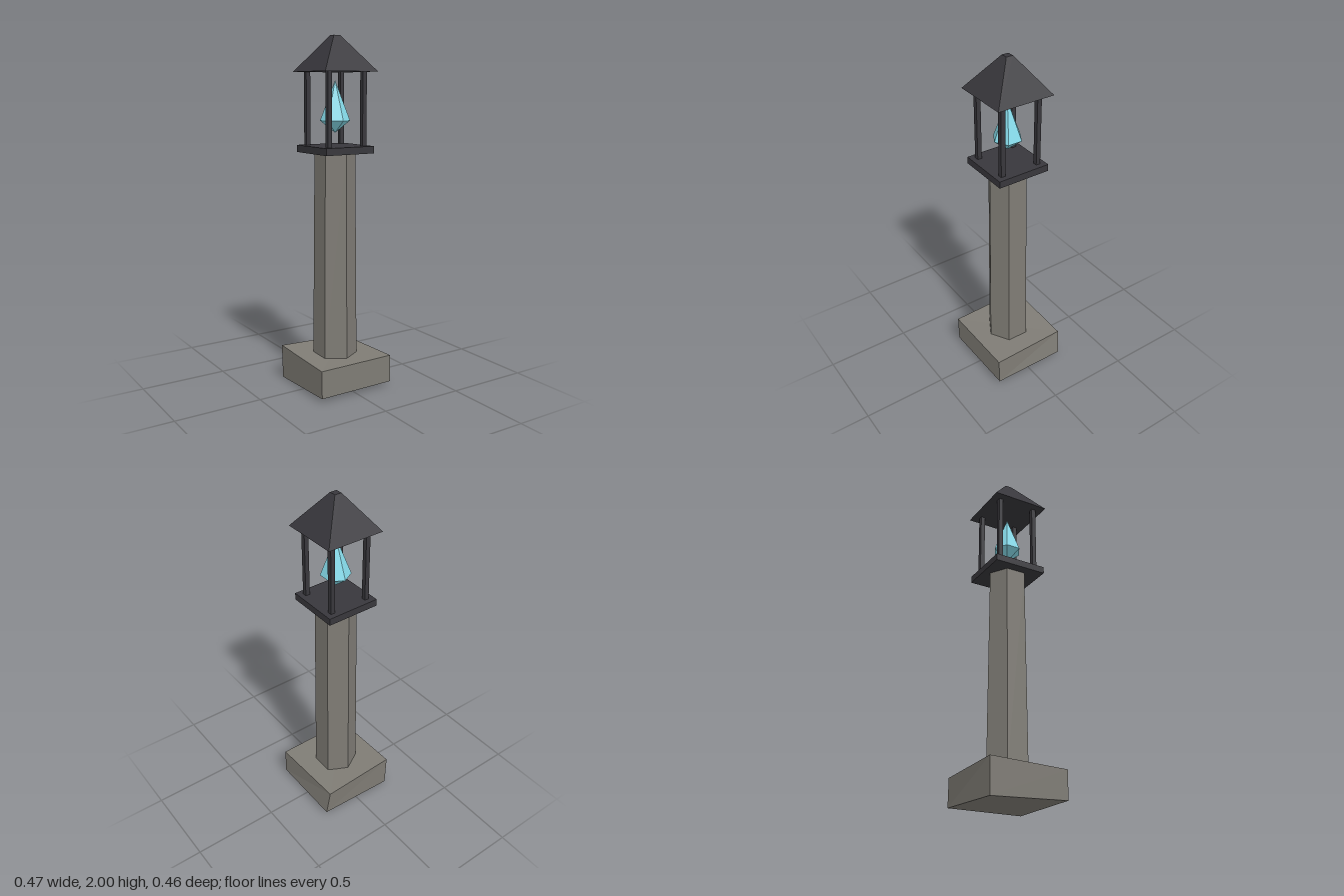
import * as THREE from 'three';

const material = (color) => new THREE.MeshStandardMaterial({ color, flatShading: true });

export function createModel() {
  const model = new THREE.Group();
  const stone = material(0x7f7c75);
  const iron = material(0x38373c);
  const glow = material(0x86dbea);
  const cx = -0.004, cz = 0.003; // axis of the column and lantern

  const add = (parent, name, geometry, mat, x, y, z) => {
    const mesh = new THREE.Mesh(geometry, mat);
    mesh.name = name;
    mesh.position.set(x, y, z);
    parent.add(mesh);
    return mesh;
  };

  // Rough-hewn plinth: a box whose eight corners are knocked out of square
  const corners = {
    '-1,1,-1': [-0.234, 0.198, -0.227], '1,1,-1': [0.214, 0.178, -0.231],
    '-1,1,1': [-0.236, 0.183, 0.229], '1,1,1': [0.231, 0.184, 0.228],
    '-1,-1,-1': [-0.23, 0, -0.224], '1,-1,-1': [0.236, 0.023, -0.222],
    '-1,-1,1': [-0.233, 0.023, 0.228], '1,-1,1': [0.234, 0.024, 0.226],
  };
  const plinth = new THREE.BoxGeometry(2, 2, 2);
  const pos = plinth.attributes.position;
  for (let i = 0; i < pos.count; i++) {
    pos.setXYZ(i, ...corners[[pos.getX(i), pos.getY(i), pos.getZ(i)].join()]);
  }
  plinth.computeVertexNormals();
  add(model, 'plinth', plinth, stone, 0, 0, 0);

  // Tapered six-sided column
  add(model, 'column', new THREE.CylinderGeometry(0.115, 0.127, 1.188, 6), stone, cx - 0.001, 0.766, cz);

  // Lantern cage
  const lantern = new THREE.Group();
  lantern.name = 'lantern';
  lantern.position.set(cx, 0, cz);
  model.add(lantern);
  add(lantern, 'lanternFloor', new THREE.BoxGeometry(0.314, 0.04, 0.314), iron, 0, 1.376, 0);
  for (const sx of [-1, 1]) {
    for (const sz of [-1, 1]) {
      add(lantern, 'post', new THREE.BoxGeometry(0.026, 0.414, 0.026), iron, sx * 0.113, 1.6, sz * 0.113);
    }
  }

  // Four-sided roof with a small flat top
  const roof = new THREE.CylinderGeometry(0.02 * Math.SQRT2, 0.17 * Math.SQRT2, 0.197, 4);
  roof.rotateY(Math.PI / 4);
  add(lantern, 'roof', roof, iron, 0, 1.9015, 0);

  // Floating crystal: tall cone over a short inverted one
  const crystal = new THREE.Group();
  crystal.name = 'crystal';
  lantern.add(crystal);
  add(crystal, 'crystalTop', new THREE.CylinderGeometry(0, 0.084, 0.222, 6, 1, true), glow, 0, 1.646, 0);
  add(crystal, 'crystalBottom', new THREE.CylinderGeometry(0.084, 0, 0.067, 6, 1, true), glow, 0, 1.5015, 0);

  return model;
}
